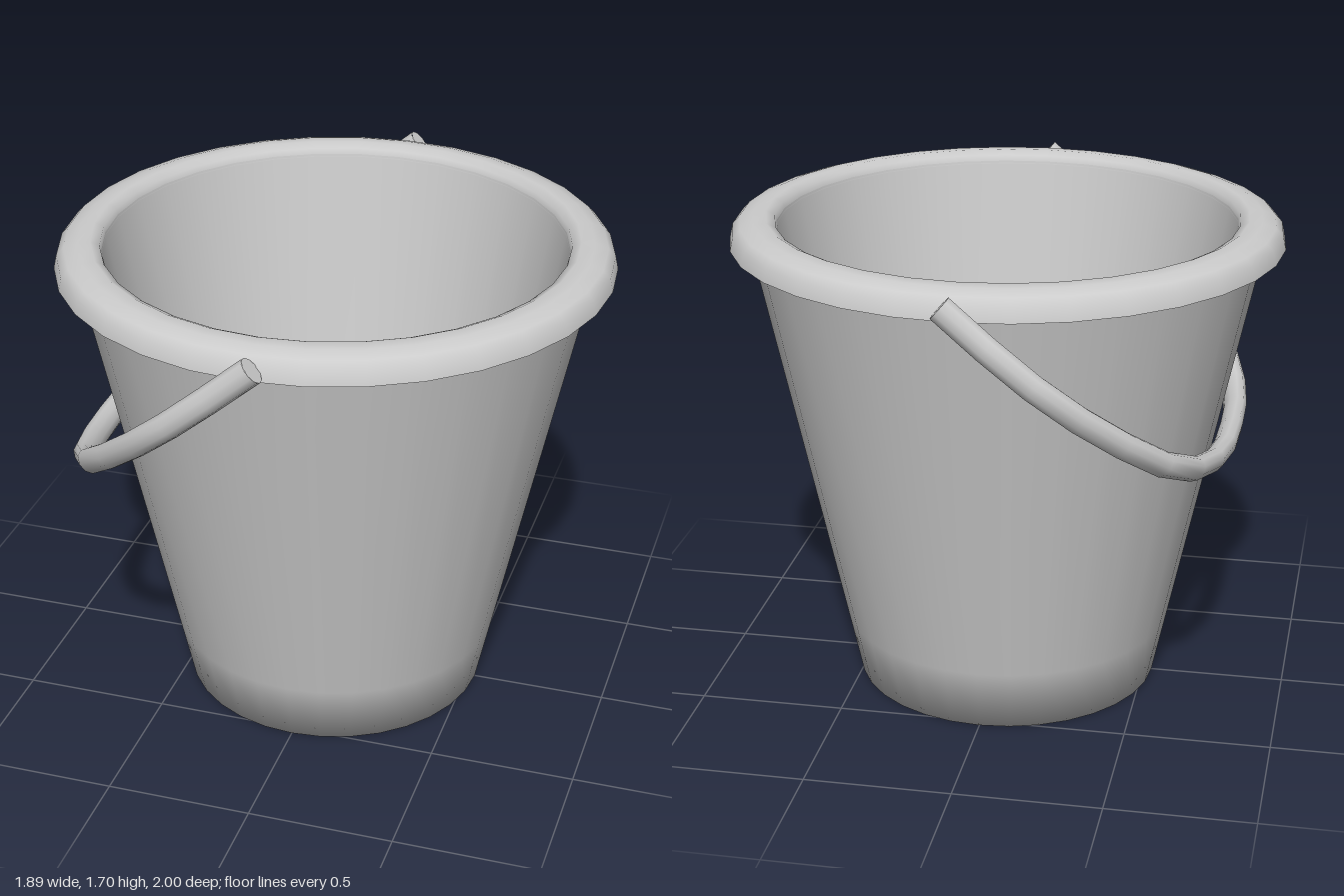
import * as THREE from 'three';

const material = new THREE.MeshStandardMaterial({ color: 0xcccccc });
const SIDES = 32;

// Surface of revolution from [radius, height] pairs
function lathe(name, profile) {
  const points = profile.map(([r, y]) => new THREE.Vector2(r, y));
  const mesh = new THREE.Mesh(new THREE.LatheGeometry(points, SIDES), material);
  mesh.name = name;
  return mesh;
}

// Half-hoop handle, modelled flat (x = drop from the pivots) and then tilted
function createHandle() {
  const half = [[0, 0.963], [0.27, 0.963], [0.52, 0.91], [0.91, 0.66], [1.04, 0.36]];
  const path = [...half, [1.07, 0], ...half.map(([d, z]) => [d, -z]).reverse()];
  const curve = new THREE.CatmullRomCurve3(path.map(([d, z]) => new THREE.Vector3(d, 0, z)));
  const radius = 0.037;

  const handle = new THREE.Group();
  handle.name = 'handle';
  const grip = new THREE.Mesh(new THREE.TubeGeometry(curve, 18, radius, 10), material);
  grip.name = 'handleBar';
  handle.add(grip);

  // Flat ends of the bar
  for (const side of [1, -1]) {
    const cap = new THREE.Mesh(new THREE.CircleGeometry(radius, 10), material);
    cap.name = 'handleEnd';
    cap.position.z = side * 0.963;
    cap.rotation.y = -Math.PI / 2;
    handle.add(cap);
  }

  handle.scale.y = 1.25;
  handle.position.set(0.03, 1.655, 0);
  handle.rotation.z = Math.atan2(-0.695, -0.815);
  return handle;
}

export function createModel() {
  const bucket = new THREE.Group();
  bucket.name = 'bucket';

  // Tapered outer wall and base
  bucket.add(lathe('outerWall', [[0, 0], [0.53, 0], [0.577, 0.22], [0.872, 1.6]]));

  // Inner wall and floor
  bucket.add(lathe('innerWall', [[0.785, 1.66], [0.53, 0.3], [0.47, 0.06], [0, 0.05]]));

  // Rolled rim: underside, then the rounded top
  bucket.add(lathe('rimUnderside', [[0.86, 1.58], [0.945, 1.605]]));
  bucket.add(lathe('rim', [
    [0.945, 1.605], [0.935, 1.65], [0.91, 1.677], [0.865, 1.692],
    [0.82, 1.695], [0.79, 1.68], [0.783, 1.65],
  ]));

  bucket.add(createHandle());
  return bucket;
}
